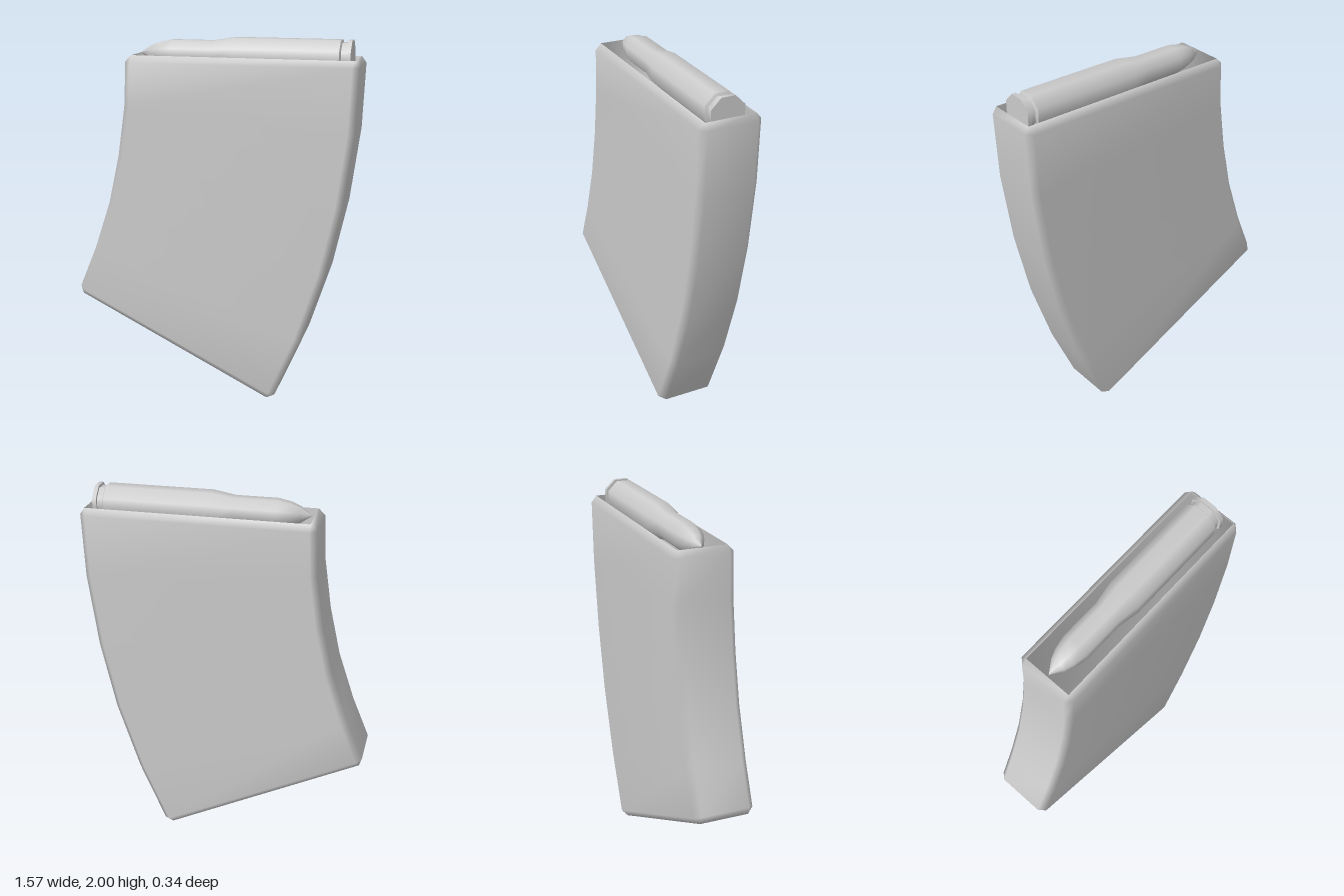
import * as THREE from 'three';
import { mergeVertices } from 'three/addons/utils/BufferGeometryUtils.js';

const grey = new THREE.MeshStandardMaterial({ color: 0xcccccc });

// Chamfered ring between a left and a right edge point [x, y]; half depth h, chamfer c
function ring([lx, ly], [rx, ry], h, c) {
  const len = Math.hypot(rx - lx, ry - ly);
  const at = (d, z) => [lx + (rx - lx) * d / len, ly + (ry - ly) * d / len, z];
  return [
    at(len, h - c), at(len, c - h), at(len - c, -h), at(c, -h),
    at(0, c - h), at(0, h - c), at(c, h), at(len - c, h),
  ];
}

// Skin rings from bottom to top, closing the bottom; inward = true shows the inside
function loft(rings, inward) {
  const n = rings[0].length, index = [];
  const tri = (a, b, c) => index.push(...(inward ? [a, c, b] : [a, b, c]));
  for (let i = 0; i < rings.length - 1; i++) {
    for (let j = 0; j < n; j++) {
      const k = (j + 1) % n, a = i * n + j, b = i * n + k;
      tri(a, b, b + n);
      tri(a, b + n, a + n);
    }
  }
  for (let j = 1; j < n - 1; j++) tri(0, j + 1, j);
  const geo = new THREE.BufferGeometry();
  geo.setAttribute('position', new THREE.Float32BufferAttribute(rings.flat(2), 3));
  geo.setIndex(index);
  const merged = mergeVertices(geo, 1e-4);
  merged.computeVertexNormals();
  return merged;
}

// Eight-sided turned part along x, flat side up; profile is [x, half height]
function turned(name, profile) {
  const points = profile.map(([x, r]) => new THREE.Vector2(r / Math.cos(Math.PI / 8), x));
  const geo = new THREE.LatheGeometry(points, 8, Math.PI / 8);
  geo.rotateZ(-Math.PI / 2);
  const mesh = new THREE.Mesh(geo, grey);
  mesh.name = name;
  return mesh;
}

export function createModel() {
  const group = new THREE.Group();
  group.name = 'curvedMagazine';

  // Curved edges of the body, bottom to top
  const left = [[-0.785, 0.58], [-0.69, 0.81], [-0.60, 1.08], [-0.54, 1.35], [-0.50, 1.63], [-0.49, 1.87]];
  const right = [[0.355, 0.025], [0.50, 0.36], [0.625, 0.74], [0.71, 1.12], [0.765, 1.52], [0.78, 1.87]];
  const rim = ring([-0.455, 1.905], [0.755, 1.905], 0.137, 0);

  // Outer shell with bevelled top and bottom
  const outer = [
    ring([-0.77, 0.535], [0.31, 0.005], 0.137, 0),
    ...left.map((l, i) => ring(l, right[i], 0.17, 0.035)),
    rim,
  ];
  const body = new THREE.Mesh(loft(outer, false), grey);
  body.name = 'body';
  group.add(body);

  // Hollow inside, following the curve
  const t = 0.033;
  const inner = [
    ...left.map(([x, y], i) => ring([x + t, y], [right[i][0] - t, right[i][1] + t / 2], 0.137, 0)),
    rim,
  ];
  const cavity = new THREE.Mesh(loft(inner, true), grey);
  cavity.name = 'cavity';
  group.add(cavity);

  // Round lying in the mouth
  const cartridge = new THREE.Group();
  cartridge.name = 'cartridge';
  cartridge.position.y = 1.908;
  cartridge.add(
    turned('bulletAndCase', [[-0.445, 0], [-0.38, 0.042], [-0.33, 0.06], [-0.26, 0.073],
      [-0.03, 0.073], [0.09, 0.092], [0.665, 0.092]]),
    turned('caseShoulder', [[0.665, 0.092], [0.672, 0.078]]),
    turned('groove', [[0.67, 0.078], [0.705, 0.078]]),
    turned('rimFront', [[0.703, 0.078], [0.703, 0.092]]),
    turned('rimEdge', [[0.703, 0.092], [0.725, 0.092]]),
    turned('rimBack', [[0.725, 0.092], [0.725, 0]]),
  );
  group.add(cartridge);
  return group;
}
